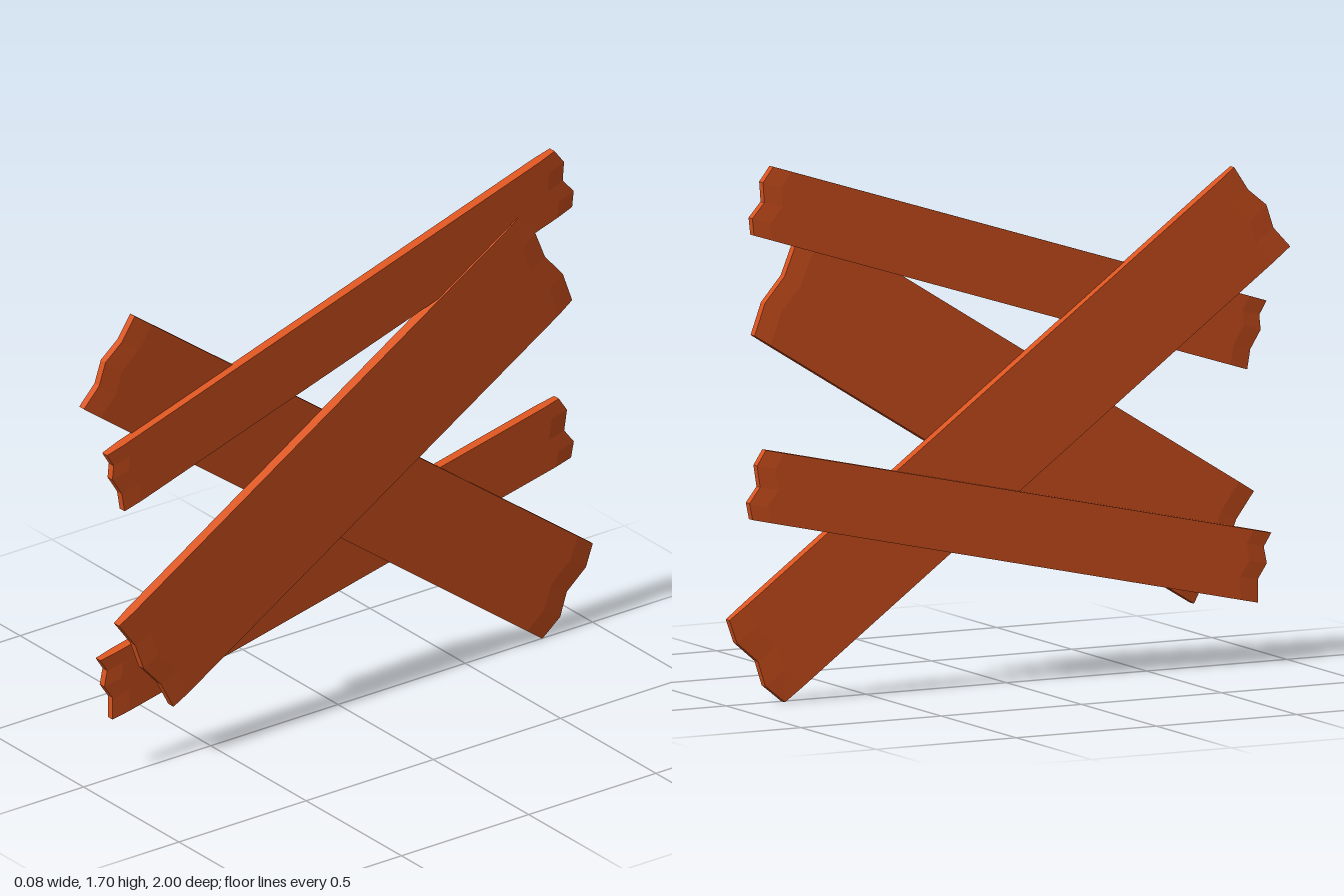
import * as THREE from 'three';

// Each plank: thickness range in x, and [z, y] points of its two splintered ends, top to bottom
const planks = [
  { name: 'crossPlank', x: [-0.027, 0.006],
    front: [[0.80, 1.585], [0.85, 1.51], [0.915, 1.457], [0.94, 1.382], [1.0, 1.318]],
    back: [[-1.0, 0.275], [-0.973, 0.20], [-0.898, 0.136], [-0.872, 0.056], [-0.802, 0.0]] },
  { name: 'upperPlank', x: [0.0, 0.034],
    front: [[0.93, 1.147], [0.904, 1.104], [0.909, 1.056], [0.872, 0.997], [0.861, 0.933]],
    back: [[-0.829, 1.703], [-0.866, 1.655], [-0.861, 1.591], [-0.904, 1.543], [-0.898, 1.489]] },
  { name: 'steepPlank', x: [0.005, 0.041],
    front: [[0.888, 0.543], [0.824, 0.457], [0.791, 0.366], [0.722, 0.291], [0.674, 0.2]],
    back: [[-0.68, 1.515], [-0.749, 1.441], [-0.786, 1.35], [-0.856, 1.27], [-0.893, 1.168]] },
  { name: 'lowerPlank', x: [-0.041, -0.008],
    front: [[0.925, 0.414], [0.898, 0.372], [0.909, 0.318], [0.877, 0.27], [0.877, 0.195]],
    back: [[-0.877, 0.81], [-0.909, 0.762], [-0.898, 0.693], [-0.936, 0.644], [-0.925, 0.591]] },
];

// Distance along the plank of each column of vertices
const columns = [0, 0.035, 0.965, 1];

function plankGeometry({ x, front, back }) {
  const geo = new THREE.BoxGeometry(3, 4, 1, 3, 4, 1);
  const pos = geo.attributes.position;
  for (let i = 0; i < pos.count; i++) {
    const col = Math.round(pos.getX(i) + 1.5);
    const row = Math.round(2 - pos.getY(i));
    const t = columns[col];
    // The broken ends are slightly thinner than the body
    const thin = col === 0 || col === 3 ? 0.75 : 1;
    const px = (x[0] + x[1]) / 2 + pos.getZ(i) * (x[1] - x[0]) * thin;
    const py = THREE.MathUtils.lerp(front[row][1], back[row][1], t);
    const pz = THREE.MathUtils.lerp(front[row][0], back[row][0], t);
    pos.setXYZ(i, px, py, pz);
  }
  geo.computeVertexNormals();
  return geo;
}

export function createModel() {
  const group = new THREE.Group();
  group.name = 'plankBarricade';
  const material = new THREE.MeshStandardMaterial({ color: 0xd9541f, flatShading: true });
  for (const plank of planks) {
    const mesh = new THREE.Mesh(plankGeometry(plank), material);
    mesh.name = plank.name;
    group.add(mesh);
  }
  return group;
}
